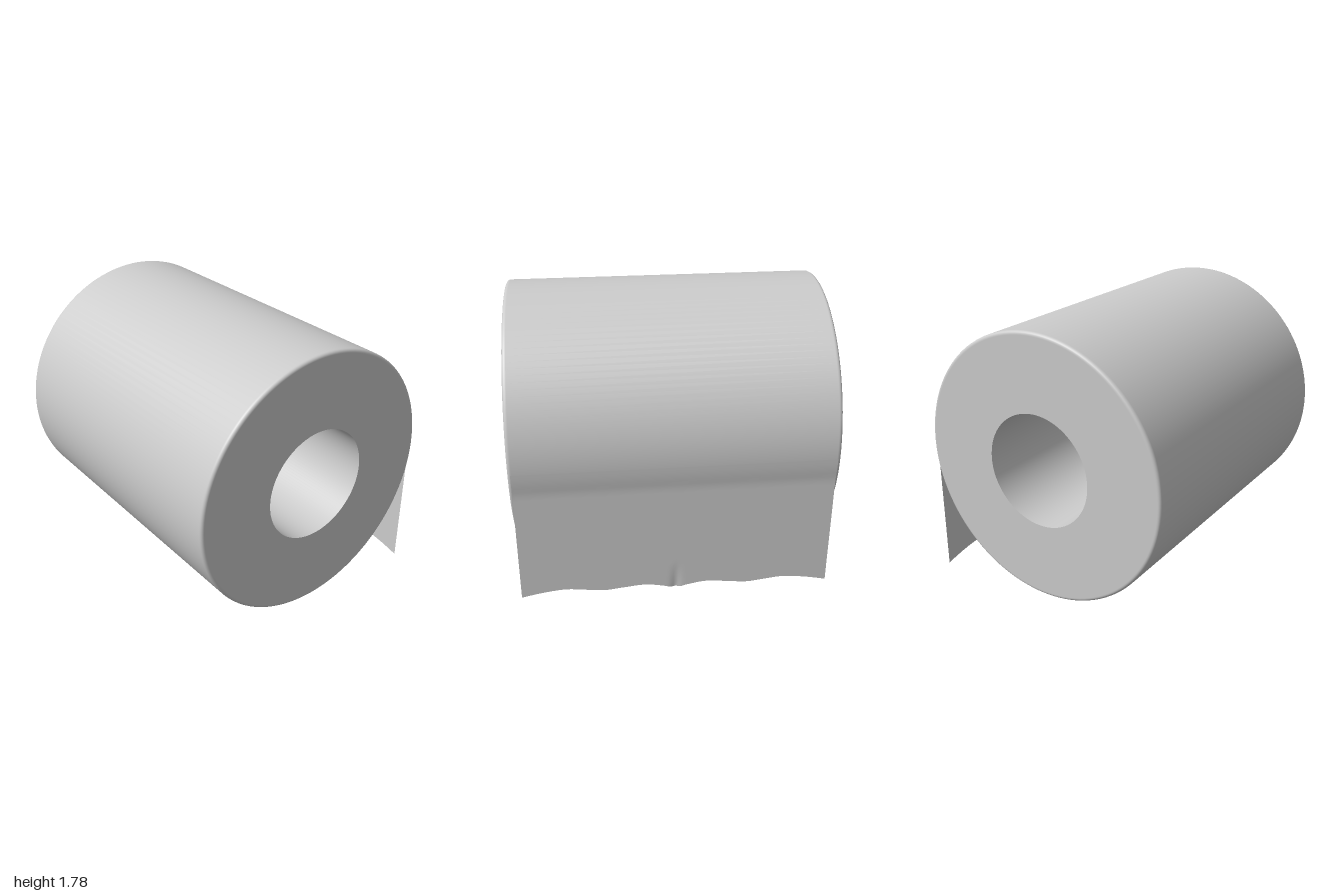
import * as THREE from 'three';

const CY = 0.927, R = 0.857, BORE = 0.363, HALF = 1, BEVEL = 0.02;
const SHEET_HALF = 0.983, SHEET_TOP = 0.92;

// Revolve a profile of [radius, z] points about the z axis, centred on the roll
function revolve(name, points, material) {
  const geo = new THREE.LatheGeometry(points.map(([r, z]) => new THREE.Vector2(r, z)), 128);
  geo.rotateX(Math.PI / 2);
  const mesh = new THREE.Mesh(geo, material);
  mesh.name = name;
  mesh.position.y = CY;
  return mesh;
}

// Roll surface: flat ends joined to the outside by small rounded edges
function rollProfile() {
  const half = [[BORE, -HALF], [R - BEVEL - 0.004, -HALF]];
  for (let i = 0; i <= 5; i++) {
    const a = (i / 5) * Math.PI / 2;
    half.push([R - BEVEL + BEVEL * Math.sin(a), -HALF + BEVEL - BEVEL * Math.cos(a)]);
  }
  half.push([R, -HALF + BEVEL + 0.004]);
  return [...half, ...half.map(([r, z]) => [r, -z]).reverse()];
}

// Hanging sheet: follows the roll, then drops straight to a torn, scalloped edge
function hangingSheet(material) {
  const tear = new THREE.SplineCurve([
    [0, 0.012], [0.03, 0.012], [0.08, 0.027], [0.2, 0.045], [0.34, 0.032], [0.46, 0.02],
    [0.58, 0.033], [0.7, 0.045], [0.84, 0.03], [SHEET_HALF, 0.001],
  ].map(([z, y]) => new THREE.Vector2(z, y))).getPoints(120);
  const tearHeight = (z) => {
    const i = tear.findIndex((p) => p.x >= z - 1e-6);
    if (i <= 0) return i === 0 ? tear[0].y : tear[tear.length - 1].y;
    const a = tear[i - 1], b = tear[i];
    return THREE.MathUtils.mapLinear(z, a.x, b.x, a.y, b.y);
  };
  const geo = new THREE.PlaneGeometry(2 * SHEET_HALF, 1, 128, 28);
  geo.rotateY(Math.PI / 2);
  const pos = geo.attributes.position;
  for (let i = 0; i < pos.count; i++) {
    const z = pos.getZ(i);
    const y = THREE.MathUtils.lerp(tearHeight(Math.abs(z)), SHEET_TOP, pos.getY(i) + 0.5);
    let x = 0.844;
    if (y > 0.78) x = Math.sqrt(R * R - (y - CY) ** 2) + 0.001;
    // small crease at the middle of the torn edge
    if (y < 0.2) x -= 0.012 * (1 - y / 0.2) * Math.exp(-((z / 0.025) ** 2));
    pos.setXYZ(i, x, y, z);
  }
  geo.computeVertexNormals();
  const mesh = new THREE.Mesh(geo, material);
  mesh.name = 'hangingSheet';
  return mesh;
}

export function createModel() {
  const paper = new THREE.MeshStandardMaterial({ color: 0xcccccc });
  const thin = new THREE.MeshStandardMaterial({ color: 0xcccccc, side: THREE.DoubleSide });
  const group = new THREE.Group();
  group.name = 'paperRoll';
  group.add(
    revolve('roll', rollProfile(), paper),
    revolve('coreBore', [[BORE, HALF], [BORE, -HALF]], paper),
    hangingSheet(thin),
  );
  return group;
}
